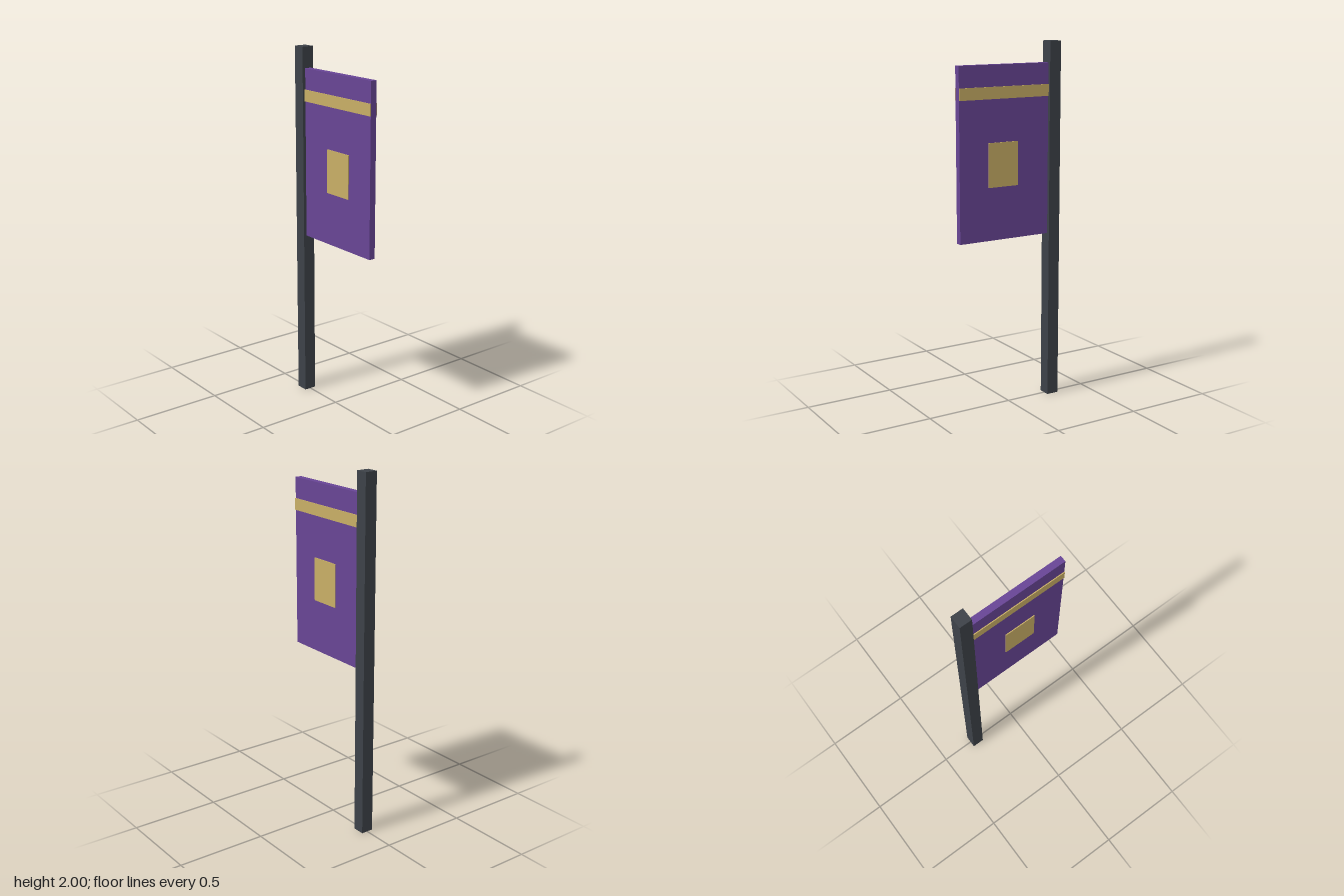
import * as THREE from 'three';

const material = (name, color) => {
  const m = new THREE.MeshStandardMaterial({ color });
  m.name = name;
  return m;
};

// Box given by its lower and upper limits on each axis
function box(name, mat, [x0, x1], [y0, y1], [z0, z1]) {
  const mesh = new THREE.Mesh(new THREE.BoxGeometry(x1 - x0, y1 - y0, z1 - z0), mat);
  mesh.position.set((x0 + x1) / 2, (y0 + y1) / 2, (z0 + z1) / 2);
  mesh.name = name;
  return mesh;
}

export function createModel() {
  const iron = material('dark iron', 0x3d4248);
  const purple = material('purple cloth', 0x684595);
  const gold = material('gold trim', 0xc8ae66);

  const model = new THREE.Group();
  model.name = 'bannerPost';
  const left = -0.242, right = 0.311;
  const half = 0.018, outer = 0.023;

  // Square post and hanging banner
  model.add(box('post', iron, [-0.311, left], [0, 2], [-0.035, 0.035]));
  model.add(box('banner', purple, [left, right], [0.945, 1.885], [-half, half]));

  // Gold stripe and emblem plate on both faces
  for (const [side, z] of [['front', [half, outer]], ['back', [-outer, -half]]]) {
    model.add(box(side + 'Stripe', gold, [left, right], [1.706, 1.77], z));
    model.add(box(side + 'Emblem', gold, [-0.045, 0.136], [1.235, 1.475], z));
  }
  return model;
}
